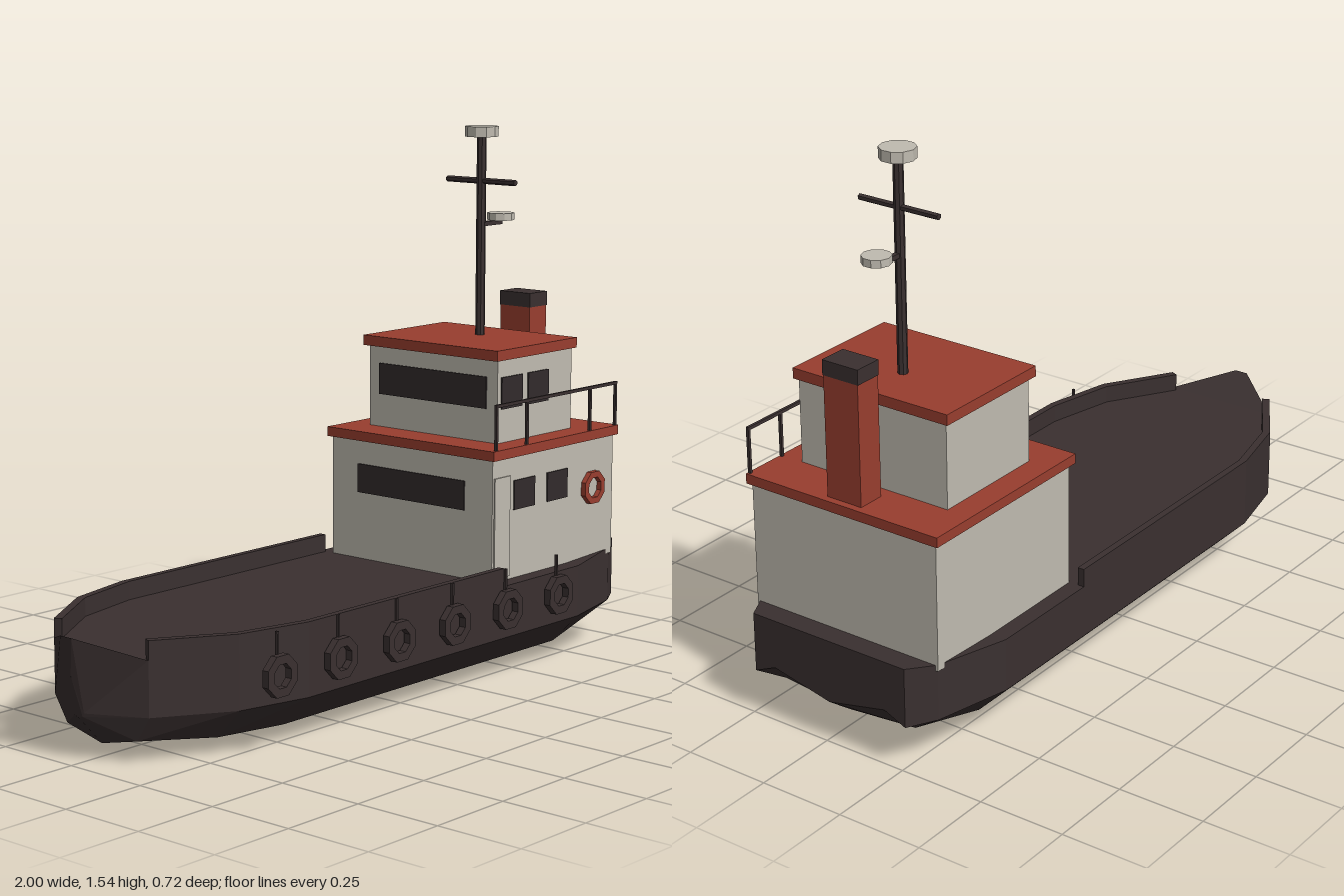
import * as THREE from 'three';

const paint = (name, color) => {
  const m = new THREE.MeshStandardMaterial({ color });
  m.name = name;
  m.flatShading = true;
  return m;
};

export function createModel() {
  const dark = paint('hullDark', 0x3a3030);
  const glass = paint('windowDark', 0x322b2c);
  const cream = paint('houseCream', 0xc0bbb0);
  const red = paint('roofRed', 0x993e2f);

  const model = new THREE.Group();
  model.name = 'workBoat';
  // everything except the side fittings sits on the boat's centre line
  const boat = new THREE.Group();
  boat.name = 'boat';
  boat.position.z = -0.0125;
  model.add(boat);

  const add = (name, geo, mat, x = 0, y = 0, z = 0) => {
    const m = new THREE.Mesh(geo, mat);
    m.name = name;
    m.position.set(x, y, z);
    boat.add(m);
    return m;
  };
  // box given by its limits
  const box = (name, mat, x0, x1, y0, y1, z0, z1) =>
    add(name, new THREE.BoxGeometry(x1 - x0, y1 - y0, z1 - z0), mat,
      (x0 + x1) / 2, (y0 + y1) / 2, (z0 + z1) / 2);
  const disc = (name, mat, r, h, x, y, z = 0, sides = 10) =>
    add(name, new THREE.CylinderGeometry(r, r, h, sides), mat, x, y, z);

  // hull stations: x, half width, sheer y, bilge y, keel y, rake
  const stations = [
    [-1.0, 0.02, 0.335, 0.12, 0.115, 0.04],
    [-0.88, 0.175, 0.28, 0.06, 0.03, 0],
    [-0.68, 0.30, 0.28, 0.045, 0, 0],
    [-0.47, 0.347, 0.28, 0.04, 0, 0],
    [0.70, 0.347, 0.28, 0.04, 0, 0],
    [0.92, 0.295, 0.29, 0.08, 0.06, 0],
    [1.0, 0.25, 0.30, 0.16, 0.12, 0],
  ];
  const rings = stations.map(([x, w, top, bilge, keel, rake]) => {
    const side = (s) => [
      [x, top, s * w], [x + rake, 0.13, s * w], [x + rake, bilge, s * w * 0.74],
    ];
    return [...side(-1), [x + rake, keel, 0], ...side(1).reverse()];
  });
  const pos = [];
  const tri = (a, b, c) => pos.push(...a, ...b, ...c);
  const n = rings[0].length;
  for (let i = 0; i < rings.length - 1; i++) {
    for (let j = 0; j < n; j++) {
      const k = (j + 1) % n;
      const [a, b, c, d] = [rings[i][j], rings[i + 1][j], rings[i + 1][k], rings[i][k]];
      tri(a, b, c);
      tri(a, c, d);
    }
  }
  // bow and transom ends
  const bow = rings[0], stern = rings[rings.length - 1];
  for (let j = 0; j < n; j++) {
    const k = (j + 1) % n;
    tri([-0.985, 0.23, 0], bow[j], bow[k]);
    tri([1, 0.24, 0], stern[k], stern[j]);
  }
  const hull = new THREE.BufferGeometry();
  hull.setAttribute('position', new THREE.Float32BufferAttribute(pos, 3));
  hull.computeVertexNormals();
  add('hull', hull, dark);

  // bulwarks along both deck edges
  const edge = [[-0.88, 0.175], [-0.68, 0.30], [-0.47, 0.347], [0.35, 0.347]];
  for (const s of [1, -1]) {
    const outline = [...edge, ...edge.map(([x, z]) => [x + (x < -0.4 ? 0.01 : 0), z - 0.02]).reverse()];
    const shape = new THREE.Shape(outline.map(([x, z]) => new THREE.Vector2(x, -s * z)));
    const geo = new THREE.ExtrudeGeometry(shape, { depth: 0.055, bevelEnabled: false });
    geo.rotateX(-Math.PI / 2);
    add(s > 0 ? 'leftBulwark' : 'rightBulwark', geo, dark, 0, 0.277, 0);
  }

  // deckhouse and wheelhouse
  box('deckhouse', cream, 0.353, 0.925, 0.275, 0.635, -0.30, 0.30);
  box('deckhouseRoof', red, 0.342, 0.935, 0.633, 0.661, -0.312, 0.312);
  box('wheelhouse', cream, 0.449, 0.797, 0.66, 0.902, -0.239, 0.239);
  box('wheelhouseRoof', red, 0.433, 0.807, 0.90, 0.93, -0.25, 0.25);
  box('door', cream, 0.36, 0.43, 0.29, 0.58, 0.299, 0.304);

  // side windows and forward-facing windows
  for (const x of [0.449, 0.604]) box('deckhouseWindow', glass, x, x + 0.096, 0.478, 0.563, 0.298, 0.304);
  for (const x of [0.465, 0.588]) box('wheelhouseWindow', glass, x, x + 0.096, 0.758, 0.85, 0.237, 0.243);
  box('deckhouseFrontWindow', glass, 0.349, 0.355, 0.478, 0.563, -0.2, 0.2);
  box('wheelhouseFrontWindow', glass, 0.445, 0.451, 0.758, 0.85, -0.2, 0.2);

  // funnel
  box('funnel', red, 0.834, 0.914, 0.66, 1.0, -0.055, 0.055);
  box('funnelCap', dark, 0.833, 0.915, 0.998, 1.04, -0.057, 0.057);

  // mast with spar, bracket and lamps
  const mx = 0.667;
  disc('mast', dark, 0.014, 0.59, mx, 1.22, 0, 8);
  disc('mastLamp', cream, 0.049, 0.03, mx, 1.526);
  disc('spar', dark, 0.009, 0.252, mx, 1.382, 0, 6).rotation.x = Math.PI / 2;
  box('lampBracket', dark, mx, 0.76, 1.249, 1.262, -0.007, 0.007);
  disc('bracketLamp', cream, 0.04, 0.021, 0.76, 1.272);

  // railing on the left side
  for (const x of [0.36, 0.5, 0.8, 0.925]) box('railPost', dark, x - 0.004, x + 0.004, 0.66, 0.79, 0.302, 0.31);
  box('handrail', dark, 0.356, 0.929, 0.783, 0.792, 0.302, 0.31);

  // flat eight-sided ring facing the side
  const ring = (name, mat, outer, inner, depth, x, y, z) => {
    const corners = (r) => Array.from({ length: 8 }, (_, i) => {
      const a = (i + 0.5) * Math.PI / 4;
      return new THREE.Vector2(r * Math.cos(a), r * Math.sin(a));
    });
    const shape = new THREE.Shape(corners(outer));
    shape.holes.push(new THREE.Path(corners(inner)));
    add(name, new THREE.ExtrudeGeometry(shape, { depth, bevelEnabled: false }), mat, x, y, z);
  };
  ring('lifeRing', red, 0.051, 0.032, 0.016, 0.818, 0.49, 0.301);

  // tyre fenders hung on straps
  for (let i = 0; i < 6; i++) {
    const x = -0.594 + i * 0.2364;
    ring('tyreFender', dark, 0.059, 0.034, 0.021, x, 0.217, 0.351);
    box('fenderStrap', dark, x - 0.003, x + 0.003, 0.265, 0.332, 0.347, 0.355);
  }

  return model;
}
